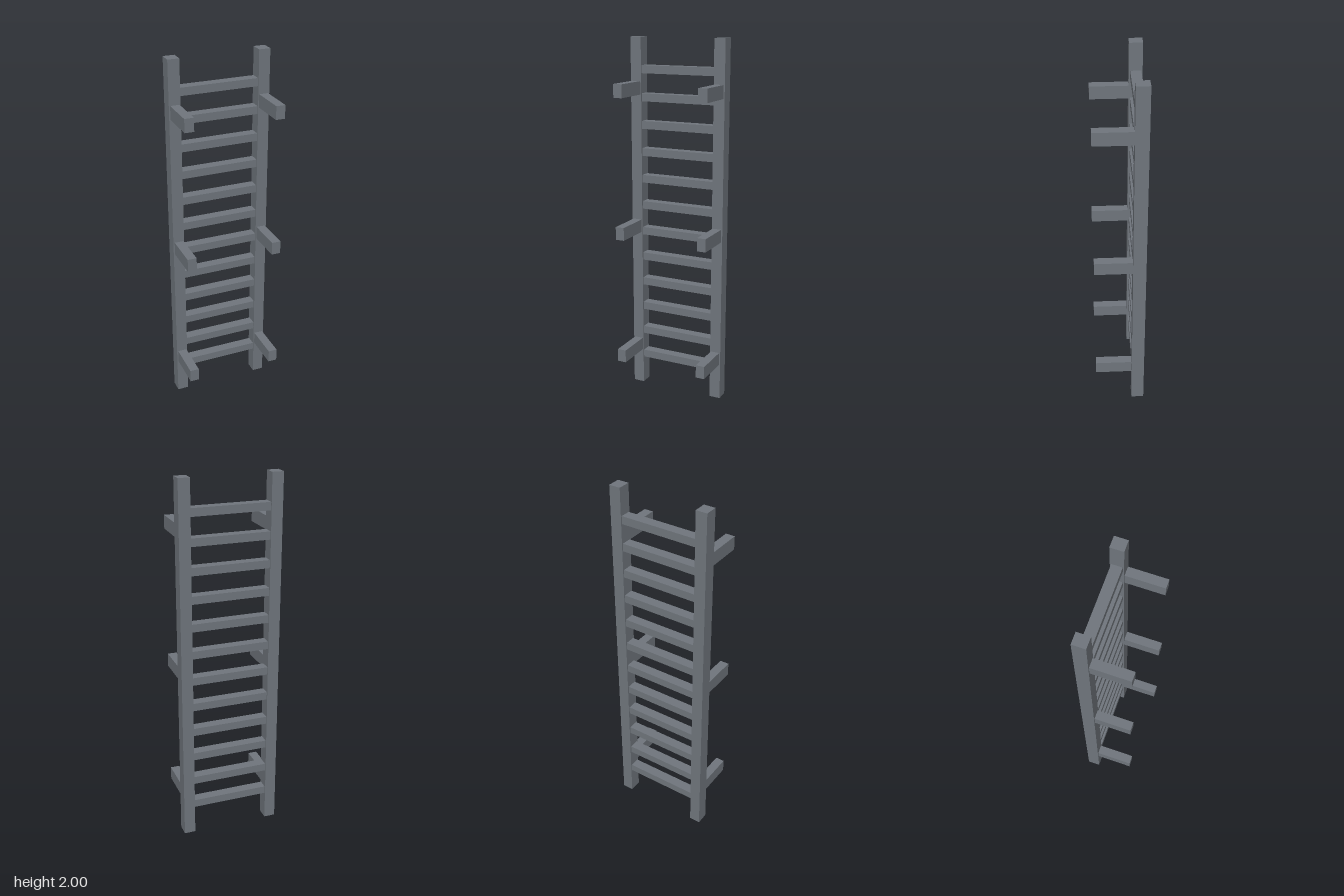
import * as THREE from 'three';

export function createModel() {
  const model = new THREE.Group();
  model.name = 'ladder';
  const steel = new THREE.MeshStandardMaterial({ color: 0x70767d });
  steel.name = 'grey steel';

  const bar = (name, size, position) => {
    const mesh = new THREE.Mesh(new THREE.BoxGeometry(...size), steel);
    mesh.name = name;
    mesh.position.set(...position);
    model.add(mesh);
  };

  for (const [side, s] of [['left', 1], ['right', -1]]) {
    // Upright side rail
    bar(`${side}Rail`, [0.062, 2, 0.07], [s * 0.244, 1, -0.103]);
    // Stand-off brackets reaching forward from the rail
    [0.241, 0.959, 1.73].forEach((y, i) =>
      bar(`${side}Bracket${i + 1}`, [0.05, 0.072, 0.204], [s * 0.243, y, 0.034]));
  }

  // Evenly spaced rungs between the rails
  const rungs = 12;
  for (let i = 0; i < rungs; i++) {
    const y = 0.179 + i * 0.15;
    bar(`rung${i + 1}`, [0.426, 0.043, 0.056], [0, y, -0.103]);
  }
  return model;
}
